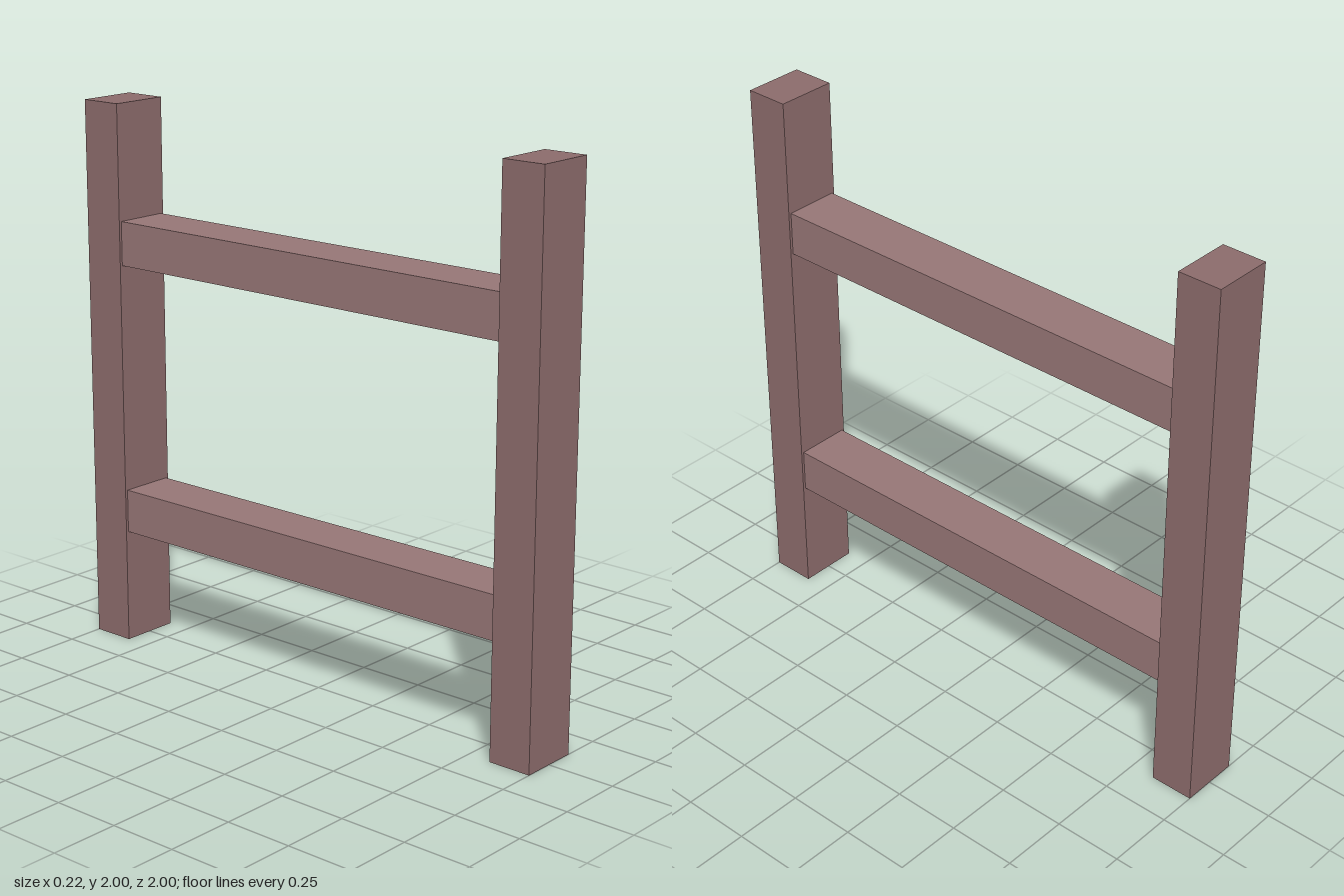
import * as THREE from 'three';

export function createModel() {
  const model = new THREE.Group();
  model.name = 'fenceSection';
  const postMaterial = new THREE.MeshStandardMaterial({ color: 0x8b6b6b });
  const railMaterial = new THREE.MeshStandardMaterial({ color: 0x957575 });

  const addBox = (name, material, size, position) => {
    const mesh = new THREE.Mesh(new THREE.BoxGeometry(...size), material);
    mesh.name = name;
    mesh.position.set(...position);
    model.add(mesh);
  };

  // Upright posts at both ends
  addBox('frontPost', postMaterial, [0.22, 2, 0.16], [0, 1, 0.92]);
  addBox('backPost', postMaterial, [0.22, 2, 0.16], [0, 1, -0.92]);

  // Horizontal rails butting against the posts
  addBox('lowerRail', railMaterial, [0.2, 0.16, 1.68], [0, 0.5, 0]);
  addBox('upperRail', railMaterial, [0.2, 0.16, 1.68], [0, 1.5, 0]);

  return model;
}
